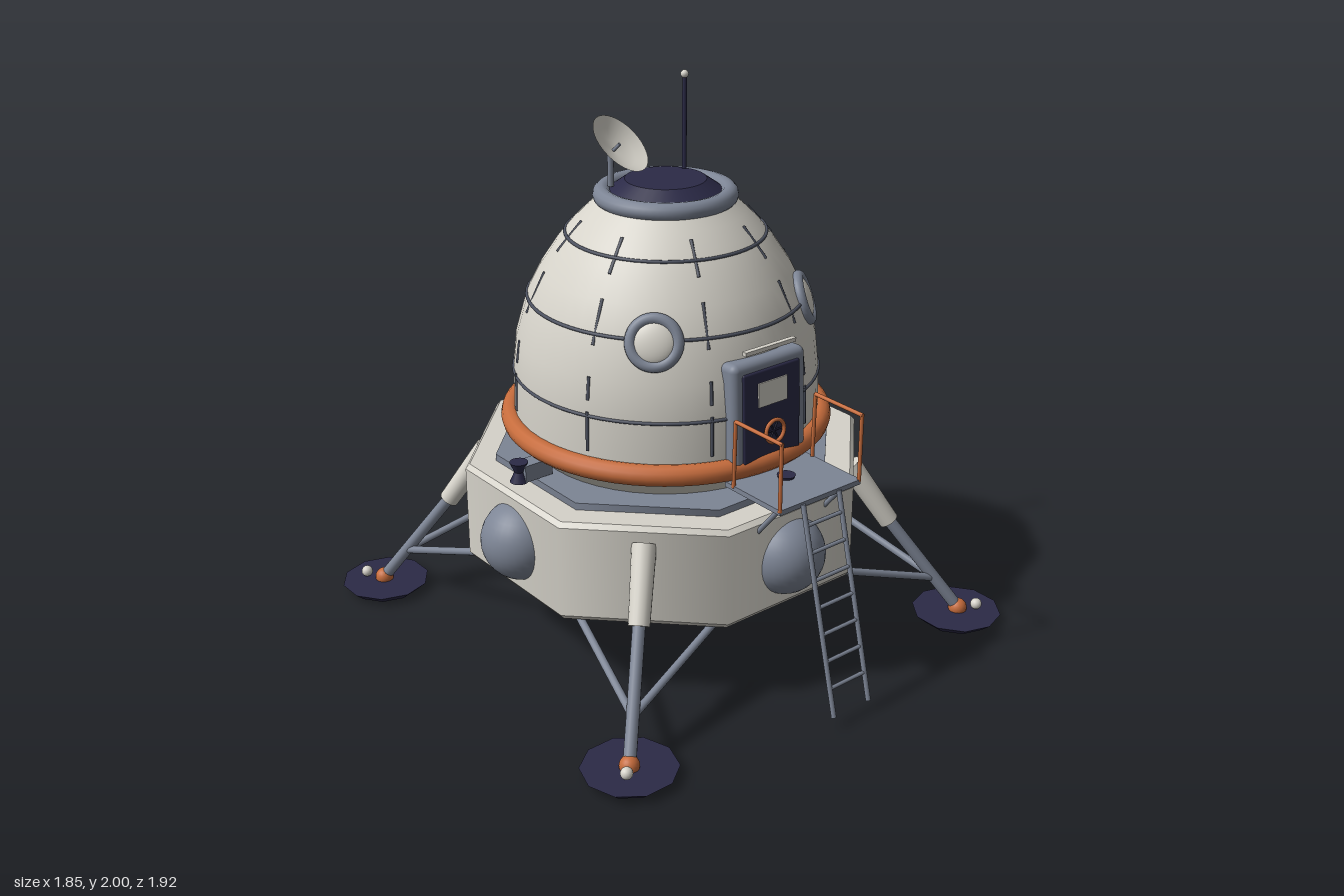
import * as THREE from 'three';
import { RoundedBoxGeometry } from 'three/addons/geometries/RoundedBoxGeometry.js';

const mat = (name, color, side = THREE.FrontSide) => {
  const m = new THREE.MeshStandardMaterial({ color, side });
  m.name = name;
  return m;
};
const V = (x, y, z) => new THREE.Vector3(x, y, z);
const UP = V(0, 1, 0);

export function createModel() {
  const white = mat('off white', 0xd6d3ca, THREE.DoubleSide);
  const grey = mat('blue grey', 0x7d8595);
  const navy = mat('dark navy', 0x2b2a47, THREE.DoubleSide);
  const orange = mat('orange', 0xc66c3c);
  const seam = mat('seam grey', 0x4b505e);

  const model = new THREE.Group();
  model.name = 'lander';
  const craft = new THREE.Group();
  craft.name = 'craft';
  craft.position.z = -0.036;
  model.add(craft);

  const add = (name, geo, material, x = 0, y = 0, z = 0, parent = craft) => {
    const m = new THREE.Mesh(geo, material);
    m.name = name;
    m.position.set(x, y, z);
    parent.add(m);
    return m;
  };
  // Cylinder between two points
  const rod = (name, a, b, r, material, parent = craft, r2 = r, sides = 12) => {
    const d = b.clone().sub(a);
    const m = add(name, new THREE.CylinderGeometry(r2, r, d.length(), sides), material, 0, 0, 0, parent);
    m.position.copy(a).addScaledVector(d, 0.5);
    m.quaternion.setFromUnitVectors(UP, d.normalize());
    return m;
  };
  const lathe = (pts, sides = 48, start = 0) =>
    new THREE.LatheGeometry(pts.map(p => new THREE.Vector2(...p)), sides, start, Math.PI * 2);
  const ring = (name, R, t, y, material) => {
    const m = add(name, new THREE.TorusGeometry(R, t, 12, 64), material, 0, y, 0);
    m.rotation.x = Math.PI / 2;
    return m;
  };
  // Octagonal plate given by its flat-to-flat half width
  const oct = (w, h) => new THREE.CylinderGeometry(w / Math.cos(Math.PI / 8), w / Math.cos(Math.PI / 8), h, 8, 1, false, Math.PI / 8);
  const group = (name, parent = craft) => {
    const g = new THREE.Group();
    g.name = name;
    parent.add(g);
    return g;
  };

  // Octagonal descent stage; repeated points keep the edges crisp
  const k = 1 / Math.cos(Math.PI / 8);
  add('descentStage', lathe([[0, 0.31], [0.66 * k, 0.31], [0.66 * k, 0.31], [0.676 * k, 0.33], [0.676 * k, 0.33],
    [0.676 * k, 0.66], [0.676 * k, 0.66], [0.662 * k, 0.677], [0.662 * k, 0.677], [0, 0.677]], 8, Math.PI / 8), white);
  add('topDeck', oct(0.575, 0.03), grey, 0, 0.687, 0);
  add('bottomPlate', oct(0.55, 0.04), navy, 0, 0.298, 0);
  for (let i = 0; i < 4; i++) {
    const a = i * Math.PI / 2;
    add('fuelTank', new THREE.SphereGeometry(0.142, 32, 20), grey, 0.636 * Math.sin(a), 0.49, 0.636 * Math.cos(a));
  }

  // Engine bell
  add('engineBell', lathe([[0.27, 0.09], [0.235, 0.12], [0.19, 0.17], [0.15, 0.23], [0.12, 0.29]], 32), navy);
  ring('engineRim', 0.27, 0.008, 0.088, grey);

  // Cabin
  const profile = [[0.54, 0.8], [0.54, 0.87], [0.537, 1.0], [0.525, 1.11], [0.485, 1.25], [0.435, 1.35],
    [0.375, 1.44], [0.325, 1.5], [0.275, 1.55], [0.22, 1.6]];
  add('cabinNeck', lathe([[0.48, 0.7], [0.56, 0.785]]), white);
  add('cabinDome', lathe(profile), white);
  ring('cabinBelt', 0.551, 0.037, 0.806, orange);
  const radiusAt = y => {
    const i = Math.max(1, profile.findIndex(p => p[1] >= y));
    const [a, b] = [profile[i - 1], profile[i]];
    return a[0] + (b[0] - a[0]) * (y - a[1]) / (b[1] - a[1]);
  };
  for (const y of [0.985, 1.255, 1.475]) ring('seamRing', radiusAt(y), 0.006, y, seam);
  // Short seams between the rings, eight around
  for (let i = 0; i < 8; i++) {
    const a = (i + 0.5) * Math.PI / 4;
    for (const [y0, y1] of [[0.86, 1.0], [1.04, 1.12], [1.22, 1.36], [1.43, 1.53]]) {
      const p = y => V(radiusAt(y) * Math.sin(a), y, radiusAt(y) * Math.cos(a));
      rod('seamStrip', p(y0), p(y1), 0.006, seam, craft, 0.006, 6);
    }
  }

  // Roof hatch, antenna and dish
  ring('roofCollar', 0.218, 0.032, 1.603, grey);
  add('roofHatch', new THREE.CylinderGeometry(0.14, 0.21, 0.05, 40), navy, 0, 1.631, 0);
  rod('antennaMast', V(0.123, 1.63, -0.05), V(0.123, 1.98, -0.05), 0.008, navy);
  add('antennaTip', new THREE.SphereGeometry(0.014, 16, 12), white, 0.123, 1.986, -0.05);
  const dish = group('dish');
  dish.position.set(-0.145, 1.755, -0.1);
  dish.quaternion.setFromUnitVectors(UP, V(0.3, 0.7, 0.62).normalize());
  add('dishBowl', lathe([[0, 0], [0.04, 0.004], [0.08, 0.018], [0.118, 0.04]], 32), white, 0, 0, 0, dish);
  rod('dishFeed', V(0, 0, 0), V(0, 0.035, 0), 0.006, grey, dish);
  rod('dishMast', V(-0.15, 1.63, -0.11), V(-0.15, 1.755, -0.11), 0.011, grey);

  // Round windows
  for (const s of [-1, 1]) {
    const w = group('porthole');
    w.position.set(s * 0.325, 1.245, 0.345);
    w.quaternion.setFromUnitVectors(V(0, 0, 1), V(s * 0.66, 0.33, 0.7).normalize());
    add('portholeFrame', new THREE.TorusGeometry(0.078, 0.02, 12, 40), grey, 0, 0, 0.008, w);
    const glass = add('portholeGlass', new THREE.SphereGeometry(0.075, 32, 16), white, 0, 0, 0.005, w);
    glass.scale.z = 0.4;
  }

  // Door
  const door = group('door');
  door.position.set(0, 0.985, 0.5);
  door.rotation.x = -0.04;
  add('doorFrame', new RoundedBoxGeometry(0.32, 0.38, 0.11, 4, 0.025), grey, 0, 0, 0, door);
  add('doorPanel', new RoundedBoxGeometry(0.25, 0.32, 0.018, 3, 0.008), navy, 0, -0.005, 0.053, door);
  add('doorWindow', new THREE.BoxGeometry(0.125, 0.085, 0.008), white, 0, 0.07, 0.063, door);
  add('doorWheel', new THREE.TorusGeometry(0.04, 0.007, 8, 32), orange, 0, -0.068, 0.075, door);
  for (let i = 0; i < 3; i++) {
    const a = i * Math.PI / 3, x = 0.04 * Math.cos(a), y = 0.04 * Math.sin(a);
    const hub = V(0, -0.068, 0.068);
    rod('doorWheelSpoke', hub.clone().add(V(-x, -y, 0)), hub.clone().add(V(x, y, 0)), 0.003, navy, door, 0.003, 6);
  }
  add('doorLightBar', new THREE.BoxGeometry(0.22, 0.014, 0.018), white, 0, 1.21, 0.54);

  // Porch, handrails and ladder
  add('porch', new THREE.BoxGeometry(0.36, 0.018, 0.27), grey, 0, 0.764, 0.67);
  for (const s of [-1, 1]) {
    const x = s * 0.177;
    rod('porchBrace', V(s * 0.15, 0.76, 0.775), V(s * 0.15, 0.615, 0.655), 0.009, grey);
    rod('railPost', V(x, 0.765, 0.8), V(x, 1.008, 0.8), 0.007, orange);
    rod('handrail', V(x, 1.005, 0.805), V(x, 1.005, 0.58), 0.007, orange);
    rod('railRearPost', V(x, 0.765, 0.575), V(x, 1.005, 0.58), 0.007, orange);
    rod('ladderRail', V(s * 0.08, 0.765, 0.805), V(s * 0.08, 0.045, 0.985), 0.009, grey);
  }
  for (let i = 0; i < 7; i++) {
    const t = 0.1 + i * 0.127;
    const y = 0.765 - 0.72 * t, z = 0.805 + 0.18 * t;
    rod('ladderRung', V(-0.08, y, z), V(0.08, y, z), 0.007, grey, craft, 0.007, 8);
  }

  // Four legs, each built along +x +z and mirrored by turning
  for (let i = 0; i < 4; i++) {
    const leg = group('leg');
    leg.rotation.y = i * Math.PI / 2;
    rod('legSleeve', V(0.575, 0.39, 0.575), V(0.468, 0.61, 0.468), 0.036, white, leg, 0.042, 20);
    rod('legRod', V(0.765, 0.045, 0.765), V(0.56, 0.42, 0.56), 0.022, grey, leg);
    rod('legStrut', V(0.7, 0.165, 0.7), V(0.27, 0.305, 0.6), 0.014, grey, leg);
    rod('legStrut', V(0.7, 0.165, 0.7), V(0.6, 0.305, 0.27), 0.014, grey, leg);
    add('footPad', new THREE.CylinderGeometry(0.162, 0.125, 0.032, 10), navy, 0.762, 0.021, 0.762, leg);
    add('ankle', new THREE.SphereGeometry(0.034, 20, 14), orange, 0.765, 0.045, 0.765, leg);
    add('footSensor', new THREE.SphereGeometry(0.021, 16, 12), white, 0.812, 0.063, 0.812, leg);
  }

  // Steering thrusters on the four sides
  for (let i = 0; i < 4; i++) {
    const t = group('thruster');
    t.rotation.y = i * Math.PI / 2;
    add('thrusterBlock', new THREE.BoxGeometry(0.06, 0.06, 0.11), grey, 0, 0.742, 0.575, t);
    add('upperNozzle', new THREE.CylinderGeometry(0.032, 0.016, 0.036, 16), navy, 0, 0.764, 0.637, t);
    add('lowerNozzle', new THREE.CylinderGeometry(0.016, 0.032, 0.036, 16), navy, 0, 0.728, 0.637, t);
  }

  // Rear equipment box and gas bottle
  add('equipmentBox', new RoundedBoxGeometry(0.3, 0.165, 0.14, 3, 0.015), white, 0, 0.492, -0.73);
  add('equipmentStripe', new THREE.BoxGeometry(0.306, 0.022, 0.146), orange, 0, 0.515, -0.73);
  add('gasBottle', new THREE.CapsuleGeometry(0.037, 0.13, 8, 20), grey, 0.24, 0.5, -0.722);

  return model;
}
